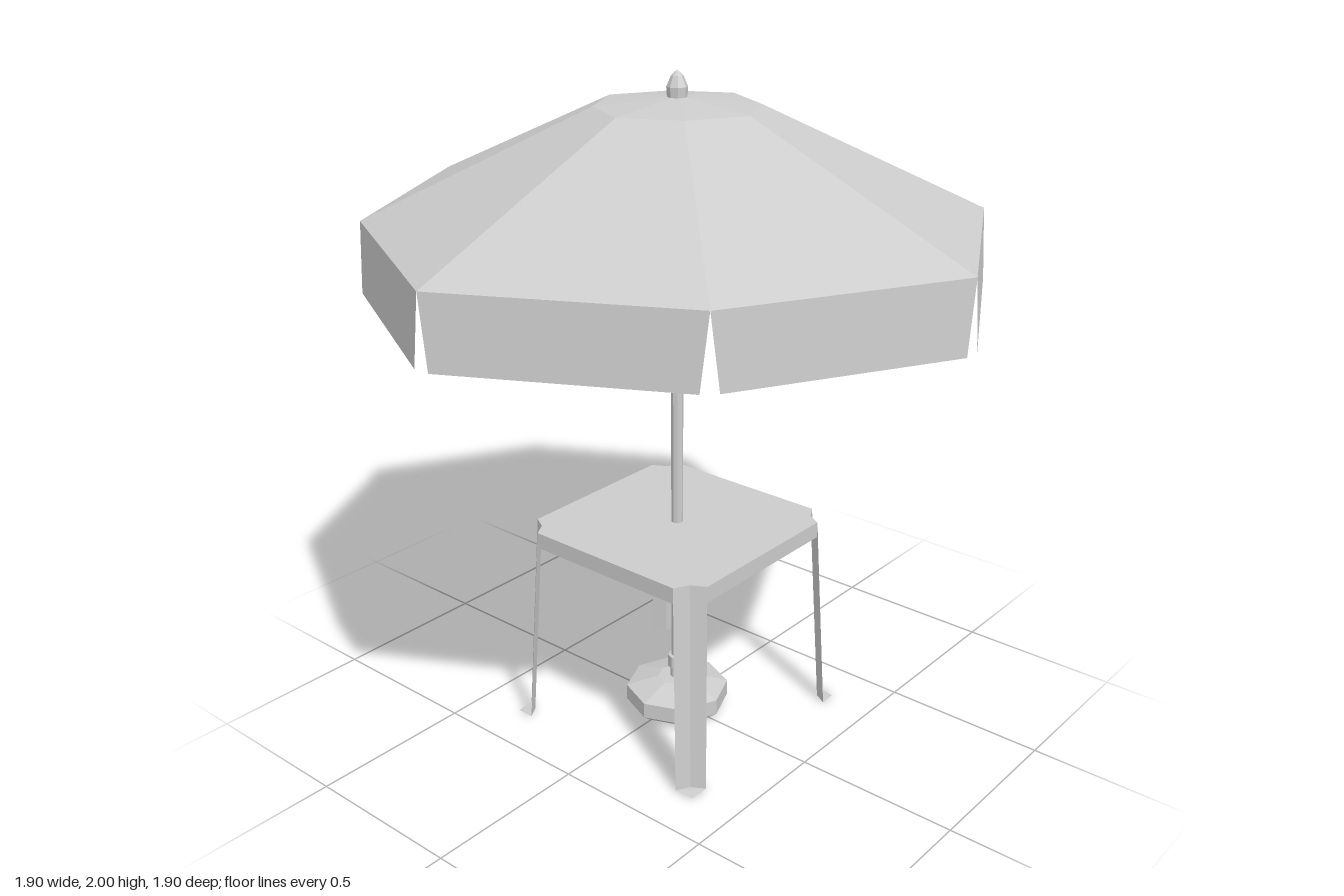
import * as THREE from 'three';

const grey = new THREE.MeshStandardMaterial({ color: 0xcccccc, flatShading: true, side: THREE.DoubleSide });
const v = (x, y, z) => new THREE.Vector3(x, y, z);

// Flat geometry from a list of corner loops (each a triangle or quad)
function faces(loops) {
  const pts = [];
  for (const l of loops) {
    for (let i = 1; i < l.length - 1; i++) pts.push(l[0], l[i], l[i + 1]);
  }
  const g = new THREE.BufferGeometry().setFromPoints(pts);
  g.computeVertexNormals();
  return g;
}

function lathe(profile) {
  const g = new THREE.LatheGeometry(profile.map(p => new THREE.Vector2(p[0], p[1])), 8).toNonIndexed();
  g.computeVertexNormals();
  return g;
}

// Corner i of an eight-sided ring, slightly tighter on the diagonals
function ringPoint(r, y, i) {
  const a = (i * Math.PI) / 4;
  const k = i % 2 ? r * 0.923 : r;
  return v(Math.sin(a) * k, y, Math.cos(a) * k);
}

export function createModel() {
  const group = new THREE.Group();
  const add = (name, geometry, parent = group) => {
    const m = new THREE.Mesh(geometry, grey);
    m.name = name;
    parent.add(m);
    return m;
  };

  // Canopy roof and hanging valance panels
  const roof = [], valance = [];
  for (let i = 0; i < 8; i++) {
    const a = ringPoint(0.95, 1.6, i), b = ringPoint(0.95, 1.6, i + 1);
    const c = ringPoint(0.25, 1.905, i + 1), d = ringPoint(0.25, 1.905, i);
    roof.push([a, b, c, d], [d, c, v(0, 1.93, 0)]);
    const along = b.clone().sub(a).normalize();
    const out = v(-along.z, 0, along.x).multiplyScalar(0.013);
    if (out.dot(a) < 0) out.negate();
    const drop = out.setY(-0.2);
    const a2 = a.clone().add(drop).addScaledVector(along, 0.021);
    const b2 = b.clone().add(drop).addScaledVector(along, -0.021);
    valance.push([a2, b2, b, a]);
  }
  add('canopyRoof', faces(roof));
  add('canopyValance', faces(valance));

  // Finial, pole and weighted base
  add('finial', lathe([[0.016, 1.92], [0.028, 1.925], [0.03, 1.955], [0.017, 1.985], [0, 2]]));
  add('pole', lathe([[0.018, 0.1], [0.018, 1.925]]));
  add('poleCollar', lathe([[0.022, 0.1], [0.022, 0.135], [0.029, 0.14], [0.029, 0.18], [0.018, 0.182]]));
  add('base', lathe([[0, 0.005], [0.135, 0.005], [0.16, 0.025], [0.16, 0.075], [0.06, 0.105], [0, 0.105]]));

  // Table outline with a folded notch at each corner
  const notch = [[0.333, 0.265], [0.29, 0.29], [0.265, 0.333]];
  const outline = () => {
    const pts = [];
    for (let q = 0; q < 4; q++) {
      for (const [x, y] of notch) {
        pts.push(new THREE.Vector2(x, y).rotateAround(new THREE.Vector2(), (q * Math.PI) / 2));
      }
    }
    return new THREE.Shape(pts);
  };
  const slab = (shape, y, depth) => new THREE.ExtrudeGeometry(shape, { depth, bevelEnabled: false })
    .rotateX(-Math.PI / 2).translate(0, y, 0);
  add('tableTop', slab(outline(), 0.625, 0.022));
  const rim = outline();
  const h = 0.265;
  rim.holes.push(new THREE.Path([[-h, -h], [-h, h], [h, h], [h, -h]].map(p => new THREE.Vector2(...p))));
  add('tableRim', slab(rim, 0.597, 0.028));

  // Splayed angle-profile legs with flat feet
  const top = notch.map(([x, z]) => v(x, 0.647, z));
  const low = [[0.36, 0.297], [0.32, 0.32], [0.297, 0.36]].map(([x, z]) => v(x, 0.004, z));
  const legGeo = faces([[low[0], top[0], top[1], low[1]], [low[1], top[1], top[2], low[2]]]);
  const footGeo = faces([[low[0], low[1], low[2], v(0.355, 0, 0.355)]]);
  for (let i = 0; i < 4; i++) {
    const leg = new THREE.Group();
    leg.name = 'tableLeg' + (i + 1);
    leg.rotation.y = (i * Math.PI) / 2;
    add('legFlange', legGeo, leg);
    add('foot', footGeo, leg);
    group.add(leg);
  }
  return group;
}
